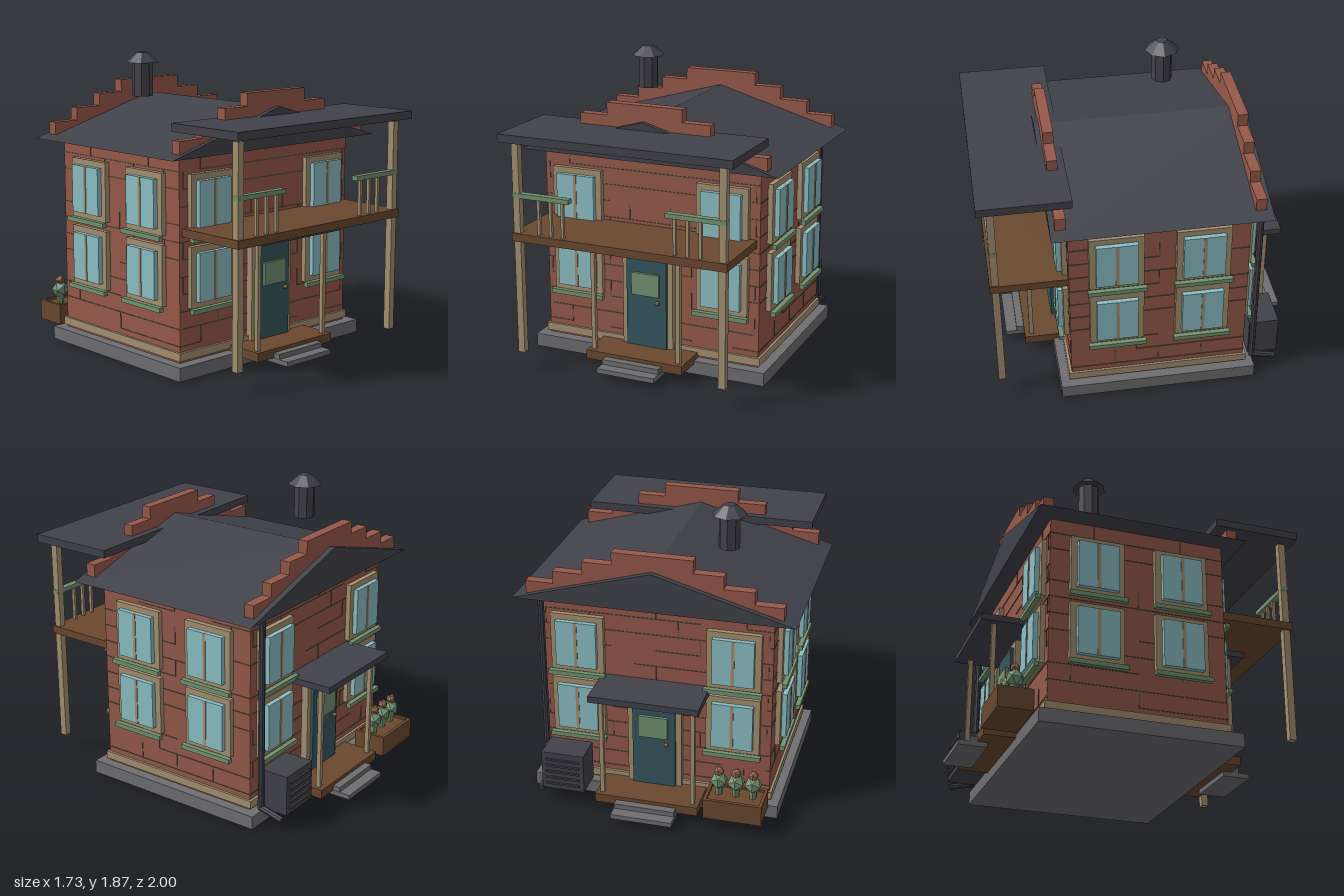
import * as THREE from 'three';

const paint = (name, color) => {
  const m = new THREE.MeshStandardMaterial({ color, flatShading: true });
  m.name = name;
  return m;
};

export function createModel() {
  const brick = paint('brick', 0x96594a), mortar = paint('mortar', 0x565a42);
  const slate = paint('slate', 0x41414a), trim = paint('trim', 0xa38f70);
  const glass = paint('glass', 0x8bbfc5), sage = paint('sage', 0x729270);
  const wood = paint('wood', 0x6a482f), stone = paint('stone', 0x6e6e71);
  const teal = paint('teal', 0x33565d), copper = paint('copper', 0x95694a);

  const model = new THREE.Group();
  model.name = 'brickHouse';
  const group = (name, parent = model) => {
    const g = new THREE.Group();
    g.name = name;
    parent.add(g);
    return g;
  };
  const add = (parent, name, geo, mat, x = 0, y = 0, z = 0) => {
    const m = new THREE.Mesh(geo, mat);
    m.name = name;
    m.position.set(x, y, z);
    parent.add(m);
    return m;
  };
  // Box given by its limits on each axis
  const box = (parent, name, mat, x0, x1, y0, y1, z0, z1) =>
    add(parent, name, new THREE.BoxGeometry(x1 - x0, y1 - y0, z1 - z0), mat,
      (x0 + x1) / 2, (y0 + y1) / 2, (z0 + z1) / 2);

  const W = 0.72, D = 0.5525, CZ = -0.0725; // wall half width, half depth, house centre

  // Foundation, walls and skirting
  box(model, 'foundation', stone, -0.785, 0.785, 0, 0.085, -0.69, 0.552);
  box(model, 'walls', brick, -W, W, 0.085, 1.33, CZ - D, CZ + D);
  box(model, 'skirting', trim, -0.735, 0.735, 0.1, 0.15, CZ - D - 0.017, CZ + D + 0.017);

  // Gable roof
  const gable = new THREE.Shape([
    new THREE.Vector2(-0.865, 1.325), new THREE.Vector2(0.865, 1.325), new THREE.Vector2(0, 1.57)]);
  add(model, 'roof', new THREE.ExtrudeGeometry(gable, { depth: 1.318, bevelEnabled: false }),
    slate, 0, 0, -0.73);

  // Stepped parapets
  for (const z of [0.525, -0.66]) {
    const parapet = group('parapet');
    [0.785, 0.612, 0.428, 0.247].forEach((w, i) =>
      box(parapet, 'parapetStep', brick, -w, w, 1.35 + i * 0.079, 1.429 + i * 0.079, z - 0.032, z + 0.032));
  }

  // Chimney pipe with cap
  const chimney = group('chimney');
  chimney.position.set(-0.363, 0, -0.27);
  add(chimney, 'chimneyPipe', new THREE.CylinderGeometry(0.066, 0.066, 0.215, 8), slate, 0, 1.703, 0);
  add(chimney, 'chimneyCap', new THREE.CylinderGeometry(0.037, 0.108, 0.063, 8), slate, 0, 1.838, 0);

  // Window standing on a wall that faces +z
  const addWindow = (wall, x, y) => {
    const w = group('window', wall);
    w.position.set(x, y, 0);
    box(w, 'windowFrame', trim, -0.167, 0.167, -0.187, 0.187, -0.01, 0.032);
    box(w, 'windowGlass', glass, -0.128, 0.128, -0.149, 0.149, 0.032, 0.062);
    box(w, 'windowMullion', trim, -0.01, 0.01, -0.149, 0.149, 0.032, 0.066);
    box(w, 'windowSill', sage, -0.18, 0.18, -0.215, -0.186, 0.035, 0.066);
  };

  // Broken mortar joints in staggered rows
  let seed = 7;
  const rand = () => (seed = (seed * 16807) % 2147483647) / 2147483647;
  const addMortar = (wall, half) => {
    const joints = group('mortarJoints', wall);
    const t = 0.0025, pitch = 0.277;
    for (let row = 0; row < 11; row++) {
      const y = 0.185 + row * 0.105;
      for (let i = -3; i <= 3; i++) {
        const x = (i + (row % 2) / 2) * pitch;
        const a = Math.max(x, -half), b = Math.min(x + pitch, half);
        if (b > a && rand() < 0.7) box(joints, 'bedJoint', mortar, a, b, y - t, y + t, -0.003, 0.004);
        if (Math.abs(x) < half - 0.02 && rand() < 0.6)
          box(joints, 'headJoint', mortar, x - t, x + t, y, Math.min(y + 0.105, 1.325), -0.003, 0.004);
      }
    }
  };

  // Doorway with porch, canopy and steps
  const addDoorway = (wall) => {
    const d = group('doorway', wall);
    box(d, 'doorFrame', trim, -0.17, 0.17, 0.12, 0.765, -0.01, 0.045);
    box(d, 'door', teal, -0.135, 0.135, 0.125, 0.725, 0.03, 0.064);
    box(d, 'doorPane', sage, -0.094, 0.091, 0.466, 0.61, 0.064, 0.083);
    const knob = add(d, 'doorKnob', new THREE.IcosahedronGeometry(0.015, 1), copper, 0.085, 0.43, 0.086);
    knob.scale.z = 0.9;
    box(d, 'knobStem', copper, 0.08, 0.09, 0.425, 0.435, 0.06, 0.08);
    box(d, 'porchDeck', wood, -0.325, 0.325, 0.065, 0.122, -0.01, 0.258);
    box(d, 'upperStep', stone, -0.19, 0.19, 0.066, 0.098, 0.15, 0.305);
    box(d, 'lowerStep', stone, -0.192, 0.192, 0.036, 0.066, 0.2, 0.376);
    box(d, 'canopy', slate, -0.34, 0.34, 0.788, 0.828, -0.01, 0.304);
    for (const s of [-1, 1])
      box(d, 'canopyPost', trim, s * 0.286 - 0.013, s * 0.286 + 0.013, 0.122, 0.79, 0.2, 0.228);
  };

  // Four wall faces
  for (let i = 0; i < 4; i++) {
    const turned = group(['frontFace', 'leftFace', 'backFace', 'rightFace'][i]);
    turned.position.z = CZ;
    turned.rotation.y = i * Math.PI / 2;
    const wall = group('wallFace', turned);
    const side = i % 2 === 1;
    wall.position.z = side ? W : D;
    for (const s of [-1, 1])
      for (const y of [0.598, 1.03]) addWindow(wall, s * (side ? 0.265 : 0.487), y);
    addMortar(wall, side ? D : W);
    if (!side) addDoorway(wall);
  }

  // Balcony with tall posts, broken railing and flat roof
  const balcony = group('balcony');
  box(balcony, 'balconyFloor', wood, -0.7, 0.7, 0.85, 0.9, 0.47, 0.953);
  box(balcony, 'balconyRoof', slate, -0.748, 0.748, 1.47, 1.52, 0.445, 1);
  for (const s of [-1, 1]) {
    box(balcony, 'balconyPost', trim, s * 0.668 - 0.022, s * 0.668 + 0.022, 0.125, 1.455, 0.896, 0.941);
    const c = s * 0.502;
    box(balcony, 'handrail', sage, c - 0.19, c + 0.19, 1.121, 1.15, 0.9, 0.944);
    for (const x of [0.365, 0.445, 0.525])
      box(balcony, 'baluster', trim, s * x - 0.009, s * x + 0.009, 0.9, 1.122, 0.91, 0.93);
  }

  // Downspout with angled outlet
  const spout = group('downspout');
  const pipe = (name, a, b) => {
    const dir = b.clone().sub(a), mid = a.clone().add(b).multiplyScalar(0.5);
    const m = add(spout, name, new THREE.CylinderGeometry(0.02, 0.02, dir.length(), 8), slate, mid.x, mid.y, mid.z);
    m.quaternion.setFromUnitVectors(new THREE.Vector3(0, 1, 0), dir.normalize());
  };
  const bend = new THREE.Vector3(0.695, 0.11, -0.69);
  pipe('spoutPipe', bend, new THREE.Vector3(0.695, 1.33, -0.69));
  pipe('spoutOutlet', bend, new THREE.Vector3(0.695, 0.075, -0.84));
  add(spout, 'spoutElbow', new THREE.IcosahedronGeometry(0.021, 1), slate, bend.x, bend.y, bend.z);

  // Cooling unit with louvres
  const cooler = group('coolingUnit');
  box(cooler, 'coolerCase', slate, 0.405, 0.675, 0.1, 0.355, -0.86, -0.67);
  for (let i = 0; i < 5; i++)
    box(cooler, 'coolerLouvre', slate, 0.433, 0.647, 0.135 + i * 0.042, 0.147 + i * 0.042, -0.872, -0.858);

  // Planter with three flowering plants
  const planter = group('planter');
  box(planter, 'planterBox', wood, -0.727, -0.365, 0.08, 0.195, -0.912, -0.7);
  for (const z of [-0.912, -0.72])
    box(planter, 'planterRim', wood, -0.727, -0.365, 0.19, 0.21, z, z + 0.02);
  for (const x of [-0.727, -0.385])
    box(planter, 'planterRim', wood, x, x + 0.02, 0.19, 0.21, -0.892, -0.72);
  for (const x of [-0.652, -0.546, -0.44]) {
    const plant = group('plant', planter);
    plant.position.set(x, 0, -0.795);
    add(plant, 'plantStem', new THREE.CylinderGeometry(0.03, 0.02, 0.08, 6), sage, 0, 0.225, 0);
    add(plant, 'plantLeaves', new THREE.IcosahedronGeometry(0.057, 0), sage, 0, 0.29, 0);
    add(plant, 'flower', new THREE.IcosahedronGeometry(0.033, 0), copper, 0, 0.352, 0);
  }
  return model;
}
